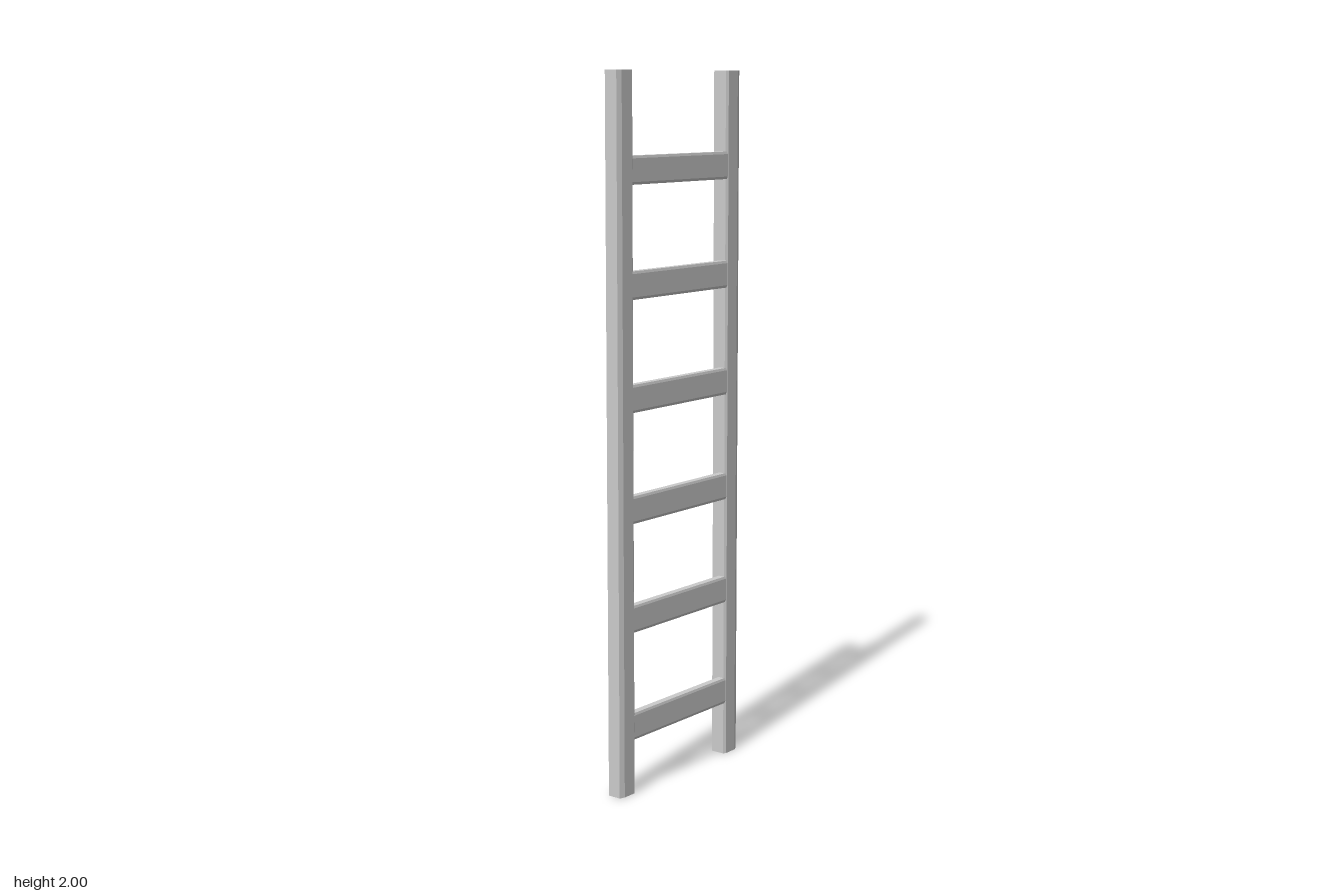
import * as THREE from 'three';

const material = new THREE.MeshStandardMaterial({ color: 0xcccccc, flatShading: true });

// Straight bar extruded from a closed outline, centred along its length
function bar(name, points, length) {
  const shape = new THREE.Shape(points.map(([x, y]) => new THREE.Vector2(x, y)));
  const geometry = new THREE.ExtrudeGeometry(shape, { depth: length, bevelEnabled: false });
  geometry.translate(0, 0, -length / 2);
  const mesh = new THREE.Mesh(geometry, material);
  mesh.name = name;
  return mesh;
}

// Rectangle w by h with cut corners: [cut along x, cut along y] on each side
function cutRect(w, h, [lx, ly], [rx, ry]) {
  const a = w / 2, b = h / 2;
  return [
    [-a + lx, -b], [a - rx, -b], [a, -b + ry], [a, b - ry],
    [a - rx, b], [-a + lx, b], [-a, b - ly], [-a, -b + ly],
  ];
}

export function createModel() {
  const group = new THREE.Group();
  group.name = 'ladder';

  // Side rails, with the wider chamfer facing outward
  const inner = [0.007, 0.005], outer = [0.015, 0.006];
  for (const side of [-1, 1]) {
    const outline = side > 0 ? cutRect(0.065, 0.051, inner, outer) : cutRect(0.065, 0.051, outer, inner);
    const rail = bar(side > 0 ? 'leftRail' : 'rightRail', outline, 2);
    rail.rotation.x = -Math.PI / 2;
    rail.position.set(side * 0.2425, 1, 0);
    group.add(rail);
  }

  // Flat rungs with eased edges, flush with the front of the rails
  const rungOutline = cutRect(0.024, 0.077, [0.002, 0.007], [0.002, 0.007]);
  for (let i = 0; i < 6; i++) {
    const rung = bar('rung' + (i + 1), rungOutline, 0.446);
    rung.rotation.y = Math.PI / 2;
    rung.position.set(0, 0.194 + i * 0.3084, 0.0125);
    group.add(rung);
  }
  return group;
}
